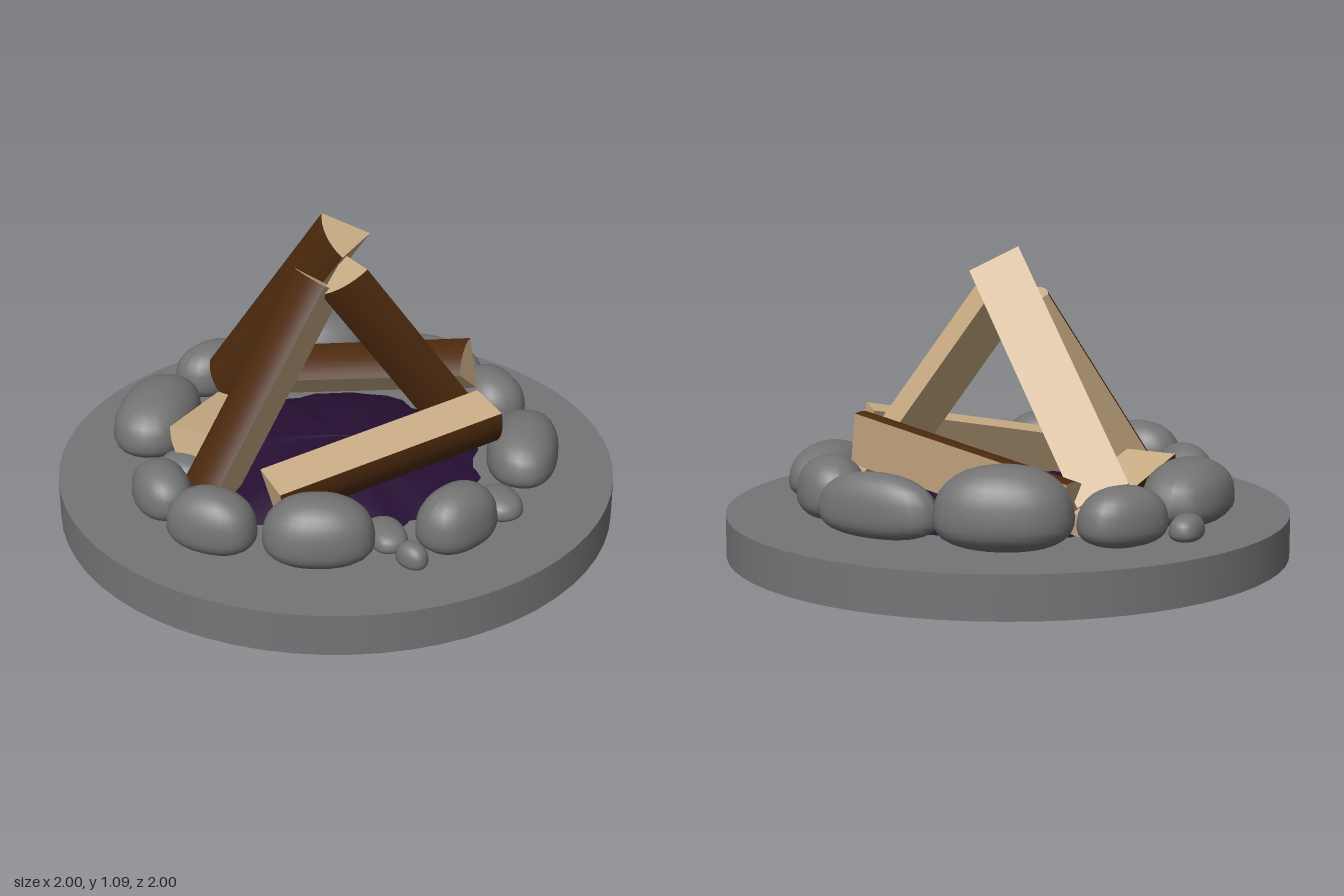
import * as THREE from 'three';

const stone = new THREE.MeshStandardMaterial({ color: 0x757577, side: THREE.DoubleSide });
stone.name = 'base stone';
const rockGrey = new THREE.MeshStandardMaterial({ color: 0x737373 });
rockGrey.name = 'rock grey';
const bark = new THREE.MeshStandardMaterial({ color: 0x4d2a0e });
bark.name = 'bark brown';
const wood = new THREE.MeshStandardMaterial({ color: 0xccae86, side: THREE.DoubleSide });
wood.name = 'split wood';
const ash = new THREE.MeshStandardMaterial({ color: 0x260f33, side: THREE.DoubleSide });
ash.name = 'dark ash';

function mesh(name, geometry, material) {
  const m = new THREE.Mesh(geometry, material);
  m.name = name;
  return m;
}

// Split log: a pie-slice prism. a and b are the ends of its inner edge, out points to the bark.
function makeLog(name, a, b, out, radius = 0.19) {
  const p = new THREE.Vector3(...a), q = new THREE.Vector3(...b);
  const along = q.clone().sub(p);
  const length = along.length();
  along.normalize();
  const z = new THREE.Vector3(...out);
  z.addScaledVector(along, -z.dot(along)).normalize();
  const x = new THREE.Vector3().crossVectors(along, z);

  const log = new THREE.Group();
  log.name = name;
  const half = Math.PI / 6;
  log.add(mesh('barkAndEnds',
    new THREE.CylinderGeometry(radius, radius, length, 8, 1, false, -half, half * 2),
    [bark, wood, wood]));
  for (const angle of [-half, half]) {
    const face = new THREE.PlaneGeometry(radius, length);
    face.translate(radius / 2, 0, 0).rotateY(angle - Math.PI / 2);
    log.add(mesh('splitFace', face, wood));
  }
  log.quaternion.setFromRotationMatrix(new THREE.Matrix4().makeBasis(x, along, z));
  log.position.copy(p).add(q).multiplyScalar(0.5);
  return log;
}

// Boulder: a sphere squared off a little, with a flattened underside
function makeRock(x, z, long, short, top, turn, i) {
  const geo = new THREE.SphereGeometry(1, 24, 16);
  const pos = geo.attributes.position;
  const v = new THREE.Vector3();
  const square = (t, e) => Math.sign(t) * Math.abs(t) ** e;
  const floor = 0.15, height = top - floor;
  for (let k = 0; k < pos.count; k++) {
    v.fromBufferAttribute(pos, k);
    const lump = 1 + 0.04 * Math.sin(2.3 * v.x + 1.7 * i) * Math.cos(2.1 * v.z + i);
    const y = square(v.y, 0.8);
    pos.setXYZ(k,
      square(v.x, 0.88) * long * lump * (1 - 0.08 * v.y) * 0.98,
      floor + height * (y > 0 ? 0.42 + 0.58 * y : 0.42 * (1 + y)),
      square(v.z, 0.88) * short * lump * (1 - 0.08 * v.y) * 0.98);
  }
  geo.computeVertexNormals();
  const rock = mesh('rock' + (i + 1), geo, rockGrey);
  rock.position.set(x, 0, z);
  rock.rotation.y = turn;
  return rock;
}

// Low ash mound whose uneven surface rises through the base
function makeMound() {
  const profile = [];
  for (let i = 0; i <= 12; i++) {
    const r = 0.7 * (1 - i / 12);
    profile.push(new THREE.Vector2(r, 0.25 - 0.37 * r * r));
  }
  const geo = new THREE.LatheGeometry(profile, 48);
  const pos = geo.attributes.position;
  for (let k = 0; k < pos.count; k++) {
    const x = pos.getX(k), z = pos.getZ(k);
    const r = Math.hypot(x, z), a = Math.atan2(z, x);
    const amount = Math.max(0, r * (0.7 - r) * 8);
    const bump = 0.006 * Math.sin(7 * a) + 0.005 * Math.sin(13 * a + 1) + 0.004 * Math.sin(19 * a + 2);
    pos.setY(k, pos.getY(k) + bump * amount);
  }
  geo.computeVertexNormals();
  return mesh('ashMound', geo, ash);
}

export function createModel() {
  const model = new THREE.Group();
  model.name = 'campfire';

  // Round base, hollow underneath
  const base = new THREE.Group();
  base.name = 'base';
  const wall = mesh('baseWall', new THREE.CylinderGeometry(1, 1, 0.15, 64, 1, true), stone);
  wall.position.y = 0.075;
  const slab = mesh('baseTop', new THREE.CircleGeometry(1, 64).rotateX(-Math.PI / 2), stone);
  slab.position.y = 0.15;
  base.add(wall, slab);
  model.add(base, makeMound());

  // Ring of rocks: x, z, long radius, short radius, top height, turn
  const rocks = [
    [-0.26, -0.62, 0.235, 0.155, 0.43, 0.35],
    [0.2, -0.63, 0.235, 0.09, 0.37, -0.1],
    [-0.59, -0.42, 0.16, 0.11, 0.35, 1.0],
    [-0.76, -0.27, 0.08, 0.055, 0.24, 1.5],
    [-0.67, 0.01, 0.235, 0.15, 0.37, -1.5],
    [-0.49, 0.26, 0.1, 0.08, 0.25, -0.6],
    [-0.615, 0.325, 0.065, 0.045, 0.22, 1.5],
    [-0.5, 0.48, 0.14, 0.1, 0.33, -1.0],
    [-0.26, 0.67, 0.16, 0.11, 0.37, -0.2],
    [0.1, 0.66, 0.19, 0.13, 0.39, 0.25],
    [0.3, 0.51, 0.1, 0.07, 0.23, -1.0],
    [0.415, 0.625, 0.06, 0.045, 0.24, -0.4],
    [0.53, 0.45, 0.16, 0.11, 0.37, 1.0],
    [0.64, 0.22, 0.1, 0.075, 0.24, -1.0],
    [0.67, -0.09, 0.21, 0.13, 0.35, -1.5],
    [0.485, -0.415, 0.155, 0.12, 0.37, -0.9],
  ];
  const ring = new THREE.Group();
  ring.name = 'rockRing';
  rocks.forEach((r, i) => ring.add(makeRock(...r, i)));
  model.add(ring);

  // Three logs lying around the pit and three leaning together over it
  model.add(
    makeLog('lyingLogBack', [-0.37, 0.16, -0.42], [0.45, 0.33, -0.34], [0, 0.94, 0.35]),
    makeLog('lyingLogFront', [-0.16, 0.33, 0.43], [0.5, 0.47, -0.06], [0.52, -0.5, 0.69]),
    makeLog('lyingLogRight', [-0.3, 0.23, -0.36], [-0.36, 0.34, 0.25], [-0.87, -0.5, 0]),
    makeLog('leaningLogFront', [-0.29, 0.13, 0.34], [0.02, 0.82, -0.01], [-0.54, 0.6, 0.59]),
    makeLog('leaningLogBack', [-0.41, 0.25, -0.37], [0.09, 1.0, -0.13], [-0.105, 0.02, 0.11]),
    makeLog('leaningLogLeft', [0.45, 0.26, -0.28], [0.02, 0.95, -0.04], [0.04, -0.035, 0.15]),
  );
  return model;
}
